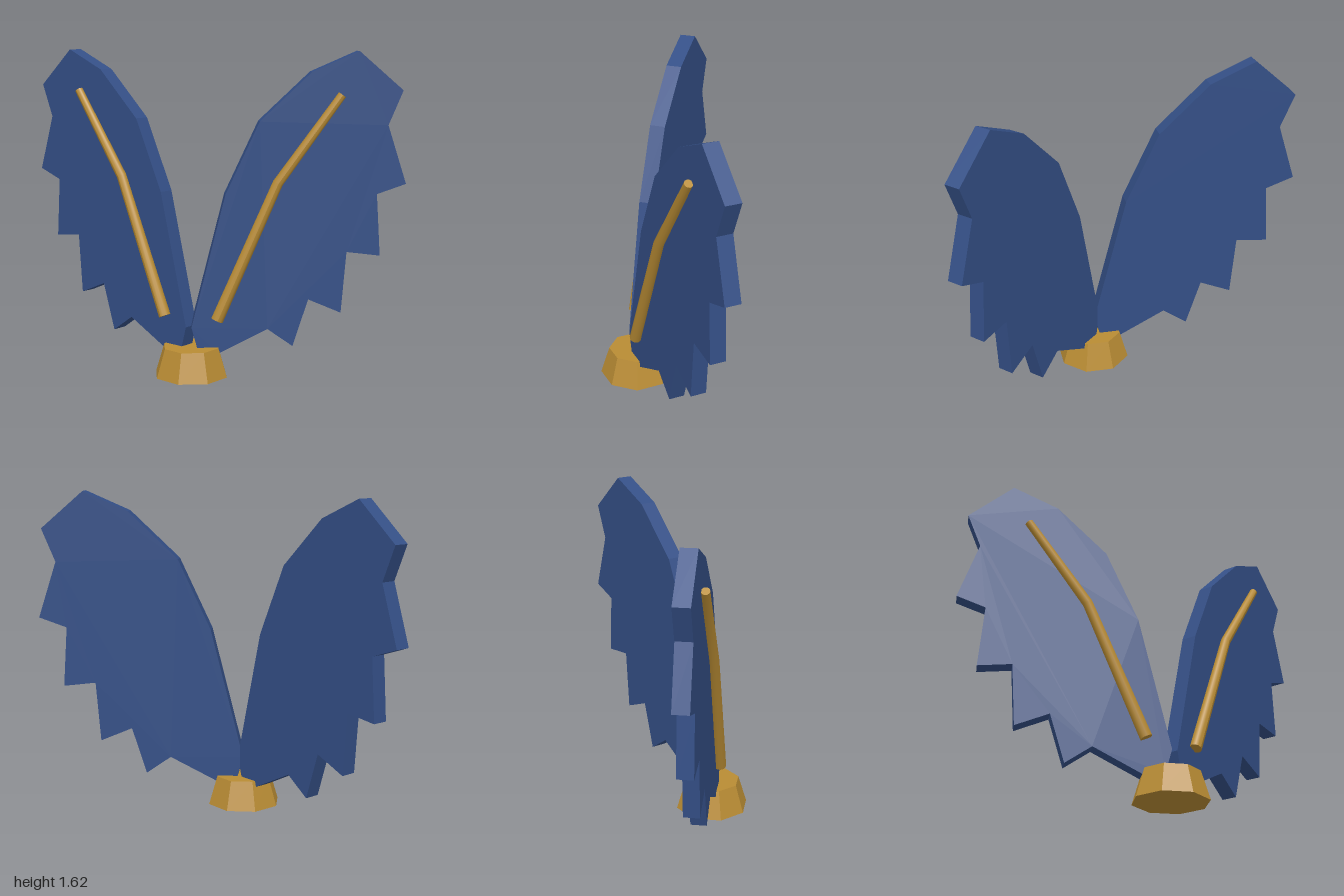
import * as THREE from 'three';

const ANGLE = 0.38;       // sweep of each wing towards the back
const THICKNESS = 0.08;

// Wing outline as seen from the front: inner root, leading edge, tip, feather notches
const OUTLINE = [
  [0.045, 0.13], [0.015, 0.25], [0.17, 0.92], [0.325, 1.28], [0.56, 1.52],
  [0.773, 1.62], [0.977, 1.43], [0.912, 1.26], [1.0, 0.97], [0.867, 0.92],
  [0.887, 0.61], [0.732, 0.63], [0.71, 0.32], [0.557, 0.39], [0.487, 0.15],
  [0.368, 0.24], [0.14, 0.115],
];

// Rib path: x, y, radius, tilt of the ring
const RIB = [
  [0.133, 0.293, 0.031, 0.41], [0.408, 0.98, 0.026, 0.52], [0.695, 1.41, 0.021, 0.63],
];

function wingPlate(side) {
  const shape = new THREE.Shape(
    OUTLINE.map(([x, y]) => new THREE.Vector2((side * x) / Math.cos(ANGLE), y)));
  const geo = new THREE.ExtrudeGeometry(shape, { depth: THICKNESS, bevelEnabled: false });
  return geo.translate(0, 0, -THICKNESS);
}

// Tapered rod whose rings follow the bent rib path
function ribRod(side) {
  const geo = new THREE.CylinderGeometry(1, 1, 2, 12, 2);
  const p = geo.attributes.position;
  for (let i = 0; i < p.count; i++) {
    const [x, y, r, tilt] = RIB[Math.round(p.getY(i)) + 1];
    const dx = p.getX(i) * r;
    p.setXYZ(i,
      (side * x) / Math.cos(ANGLE) + dx * Math.cos(tilt),
      y - side * dx * Math.sin(tilt),
      0.018 + p.getZ(i) * r);
  }
  geo.computeVertexNormals();
  return geo;
}

export function createModel() {
  const model = new THREE.Group();
  model.name = 'wingOrnament';
  const blue = new THREE.MeshStandardMaterial({ color: 0x344f86, flatShading: true });
  blue.name = 'wing blue';
  const gold = new THREE.MeshStandardMaterial({ color: 0xb98c34 });
  gold.name = 'gold';

  // Octagonal foot with flat facets
  const footGeo = new THREE.CylinderGeometry(0.145, 0.19, 0.147, 8).toNonIndexed();
  footGeo.computeVertexNormals();
  const foot = new THREE.Mesh(footGeo, gold);
  foot.name = 'base';
  foot.position.set(0, 0.0735, 0.12);
  model.add(foot);

  // Mirrored pair of wings with their ribs
  for (const side of [1, -1]) {
    const wing = new THREE.Group();
    wing.name = side > 0 ? 'leftWing' : 'rightWing';
    const plate = new THREE.Mesh(wingPlate(side), blue);
    plate.name = 'wingPlate';
    const rib = new THREE.Mesh(ribRod(side), gold);
    rib.name = 'wingRib';
    wing.add(plate, rib);
    wing.rotation.y = side * ANGLE;
    wing.position.z = 0.163;
    model.add(wing);
  }
  return model;
}
